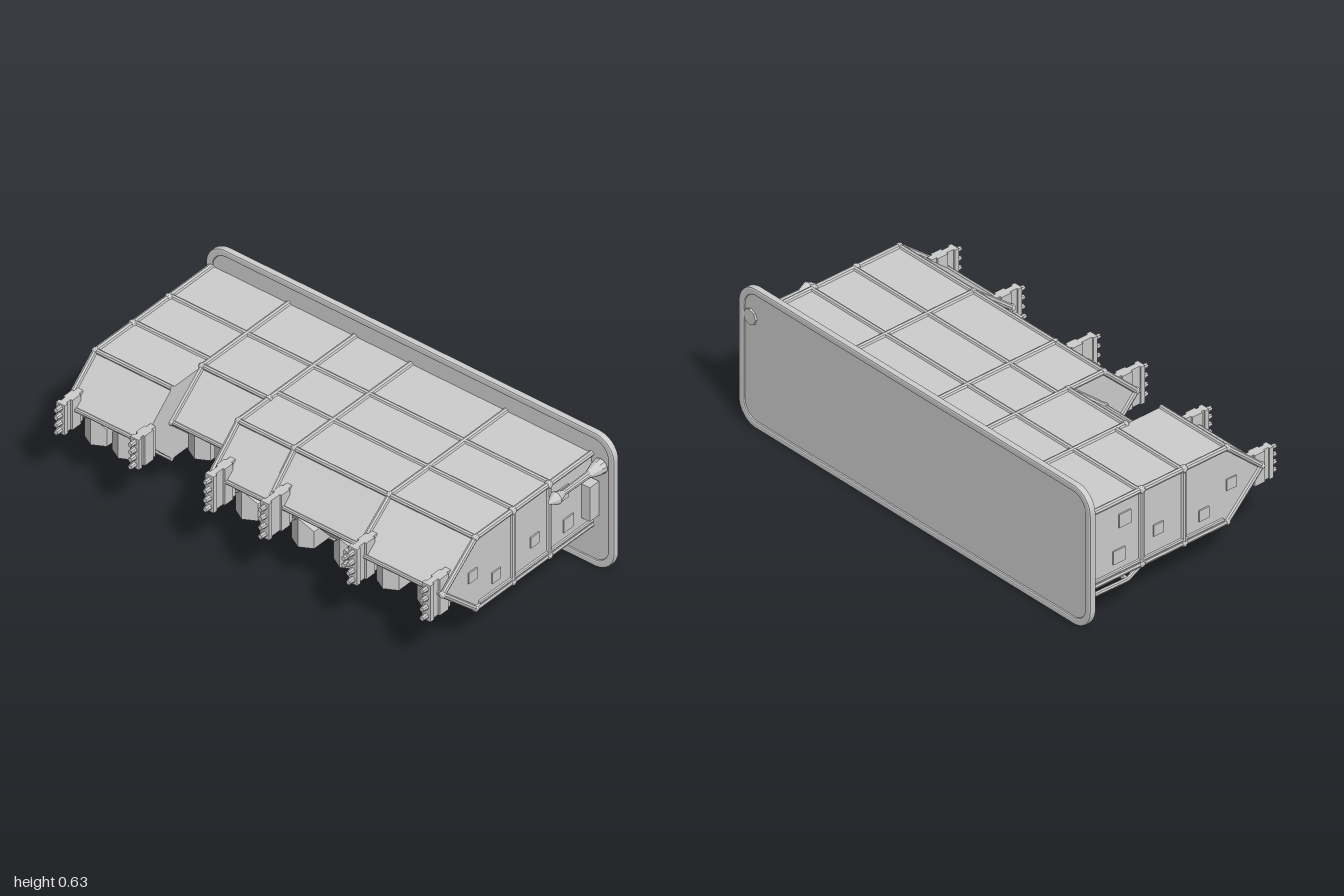
import * as THREE from 'three';

export function createModel() {
  const model = new THREE.Group();
  const mat = new THREE.MeshStandardMaterial({ color: 0xcccccc, flatShading: true });
  const V = (x, y, z) => new THREE.Vector3(x, y, z);

  function add(name, geo, x = 0, y = 0, z = 0, parent = model) {
    const m = new THREE.Mesh(geo, mat);
    m.name = name;
    m.position.set(x, y, z);
    parent.add(m);
    return m;
  }
  const box = (name, w, h, d, x, y, z, parent) =>
    add(name, new THREE.BoxGeometry(w, h, d), x, y, z, parent);

  // Round bar between two points
  function bar(name, a, b, r = 0.011, r2 = r) {
    const dir = b.clone().sub(a);
    const m = add(name, new THREE.CylinderGeometry(r2, r, dir.length(), 8));
    m.position.copy(a).lerp(b, 0.5);
    m.quaternion.setFromUnitVectors(V(0, 1, 0), dir.normalize());
    return m;
  }

  function roundedRect(w, h, r, Type = THREE.Shape) {
    const s = new Type(), x = w / 2, y = h / 2;
    s.moveTo(-x + r, -y);
    s.lineTo(x - r, -y); s.absarc(x - r, -y + r, r, -Math.PI / 2, 0);
    s.lineTo(x, y - r); s.absarc(x - r, y - r, r, 0, Math.PI / 2);
    s.lineTo(-x + r, y); s.absarc(-x + r, y - r, r, Math.PI / 2, Math.PI);
    s.lineTo(-x, -y + r); s.absarc(-x + r, -y + r, r, Math.PI, Math.PI * 1.5);
    return s;
  }

  // Back flange with a raised rim on both faces
  add('backPlate', new THREE.ExtrudeGeometry(roundedRect(1.97, 0.605, 0.09),
    { depth: 0.016, bevelEnabled: false, curveSegments: 6 }), 0, 0.315, -0.488);
  const rim = roundedRect(1.986, 0.616, 0.09);
  rim.holes.push(roundedRect(1.95, 0.58, 0.075, THREE.Path));
  add('plateRim', new THREE.ExtrudeGeometry(rim, {
    depth: 0.016, bevelThickness: 0.007, bevelSize: 0.007, bevelSegments: 2, curveSegments: 6,
  }), 0, 0.315, -0.488);

  // Bays: [left x, right x, shoulder z, nose z]
  const bays = [
    [-0.975, -0.6, 0.22, 0.395],
    [-0.6, -0.275, 0.04, 0.225],
    [-0.275, 0.0, 0.22, 0.385],
    [0.0, 0.465, 0.22, 0.375],
    [0.465, 0.885, 0.22, 0.415],
  ];
  const top = 0.522, bottom = 0.188, noseY = 0.365, backZ = -0.475;
  const section = (shoulder, nose) =>
    [[backZ, top], [shoulder, top], [nose, noseY], [shoulder, bottom], [backZ, bottom]];

  bays.forEach(([x0, x1, shoulder, nose], i) => {
    const s = new THREE.Shape(section(shoulder, nose).map(([z, y]) => new THREE.Vector2(-z, y)));
    const g = new THREE.ExtrudeGeometry(s, { depth: x1 - x0, bevelEnabled: false });
    g.rotateY(Math.PI / 2);
    add('bayShell', g, x0, 0, 0);
    // Edge bars along the shoulders, nose and cross seams
    bar('noseBar', V(x0, noseY, nose), V(x1, noseY, nose), 0.009);
    for (const y of [top, bottom]) {
      for (const z of [shoulder, -0.01, -0.225]) {
        if (i === 1 && z === -0.01) continue;
        bar('crossRib', V(x0, y, z), V(x1, y, z));
      }
    }
    // Bottom panels: beams and raised pads in each cell
    const w = x1 - x0;
    [[0.1, 0.12], [-0.12, 0.12], [-0.35, 0.13]].forEach(([z, d]) => {
      if (i === 1 && z > 0) return;
      for (const t of [0.28, 0.72]) {
        box('bottomPad', w * 0.25, 0.024, d * 0.6, x0 + w * t, bottom - 0.006, z);
      }
      box('bottomBeam', 0.014, 0.024, d + 0.06, x0 + w / 2, bottom - 0.004, z);
    });
  });

  // Profile frames on the dividers and the two end walls
  function frame(x, shoulder, nose) {
    const p = section(shoulder, nose).map(([z, y]) => V(x, y, z));
    for (let i = 0; i < 4; i++) bar('profileRib', p[i], p[i + 1], 0.012);
    for (const q of p.slice(1, 4)) add('ribJoint', new THREE.IcosahedronGeometry(0.015, 1), q.x, q.y, q.z);
  }
  bays.forEach(b => frame(b[0], b[2], b[3]));
  frame(-0.275, 0.04, 0.225);
  frame(-0.6, 0.04, 0.225);
  frame(0.885, 0.22, 0.415);
  for (const x of [-0.975, 0.885]) {
    for (const z of [0.0, -0.215]) {
      bar('sideRib', V(x, bottom - 0.01, z), V(x, top + 0.01, z), 0.012);
      for (const y of [bottom, top]) add('ribJoint', new THREE.IcosahedronGeometry(0.017, 1), x, y, z);
    }
    bar('lowerSideRail', V(x, 0.205, 0.2), V(x, 0.205, backZ), 0.009);
  }
  // Shallow square pads on the end walls
  for (const x of [-0.975, 0.885]) {
    [[0.24, 0.355, 0.05], [0.1, 0.275, 0.05], [-0.13, 0.31, 0.05], [-0.3, 0.43, 0.06], [-0.33, 0.275, 0.06]]
      .forEach(([z, y, s]) => box('sidePad', 0.012, s, s, x, y, z));
  }

  // Ridged blocks under the sloping front
  const ridge = new THREE.Shape([[-0.055, 0], [0.055, 0], [0.055, 0.08], [0, 0.135], [-0.055, 0.08]]
    .map(p => new THREE.Vector2(...p)));
  const blockGeo = new THREE.ExtrudeGeometry(ridge, { depth: 0.15, bevelEnabled: false });
  // Push the front face out along its centre line and cant the blocks to a wedge
  const flat = blockGeo.attributes.position;
  for (let i = 0; i < flat.count; i++) {
    if (flat.getZ(i) > 0.1 && Math.abs(flat.getX(i)) > 0.01) flat.setZ(i, 0.12);
  }
  // Ridge front in two facets
  const facets = new THREE.BufferGeometry();
  facets.setAttribute('position', new THREE.Float32BufferAttribute([
    -0.055, 0, 0.12, 0, 0, 0.15, 0, 0.135, 0.15, -0.055, 0, 0.12, 0, 0.135, 0.15, -0.055, 0.08, 0.12,
    0, 0, 0.15, 0.055, 0, 0.12, 0.055, 0.08, 0.12, 0, 0, 0.15, 0.055, 0.08, 0.12, 0, 0.135, 0.15,
    -0.055, 0, 0.12, 0.055, 0, 0.12, 0, 0, 0.15], 3));
  facets.computeVertexNormals();
  [[-0.88, 0], [-0.745, 0], [-0.52, -0.18], [-0.39, -0.18], [-0.14, 0], [0.135, 0], [0.34, 0], [0.55, 0], [0.75, 0]]
    .forEach(([x, dz]) => {
      const g = new THREE.Group();
      g.name = 'frontBlock';
      g.position.set(x, 0.205, 0.215 + dz);
      add('blockBody', blockGeo, 0, 0, 0, g);
      add('blockRidge', facets, 0, 0, 0, g);
      model.add(g);
    });

  // Front brackets with pins: [x, low y, high y, back z, front z, pin count]
  [[-0.95, 0.28, 0.42, 0.34, 0.46, 4], [-0.595, 0.28, 0.42, 0.34, 0.45, 4],
    [-0.22, 0.26, 0.43, 0.32, 0.46, 4], [0.05, 0.26, 0.43, 0.31, 0.46, 4],
    [0.425, 0.285, 0.35, 0.32, 0.42, 2], [0.49, 0.26, 0.43, 0.34, 0.47, 4],
    [0.85, 0.26, 0.43, 0.34, 0.47, 4]].forEach(([x, y0, y1, z0, z1, n]) => {
    const h = y1 - y0, y = (y0 + y1) / 2;
    box('bracketWeb', 0.026, h, z1 - z0, x, y, (z0 + z1) / 2);
    box('bracketFoot', 0.044, h, 0.05, x, y, z0 + 0.05);
    box('bracketHead', 0.042, h, 0.02, x, y, z1 - 0.01);
    for (let i = 0; i < n; i++) {
      const py = y0 + h * (i + 0.5) / n;
      bar('bracketPin', V(x, py, z1 - 0.005), V(x, py, z1 + 0.027), 0.013, 0.01);
    }
  });

  // Handle box and pointed rod beside the right-hand wall
  box('sideHandle', 0.05, 0.16, 0.055, 0.9, 0.33, -0.44);
  const rod = add('sideRod', new THREE.LatheGeometry([[0, -0.47], [0.034, -0.465], [0.03, -0.44], [0.015, -0.39],
    [0.012, -0.24], [0.028, -0.2], [0.022, -0.185], [0, -0.15]]
    .map(p => new THREE.Vector2(...p)), 10), 0.935, 0.49, 0);
  rod.rotation.x = Math.PI / 2;
  bar('rodCap', V(0.935, 0.49, -0.497), V(0.935, 0.49, -0.48), 0.035);

  // Hanging gear below the floor
  for (const [x0, x1] of [[-0.97, -0.61], [0.45, 0.62]]) {
    bar('lowerRail', V(x0, 0.142, -0.28), V(x1, 0.142, -0.28), 0.011);
    for (const x of [x0, x1]) {
      bar('lowerStrut', V(x, 0.142, -0.28), V(x, 0.145, -0.475), 0.01);
      bar('railHanger', V(x, 0.142, -0.28), V(x, 0.185, -0.2), 0.01);
    }
  }
  box('hangingBox', 0.18, 0.05, 0.08, -0.49, 0.162, -0.19);
  const tray = box('hangingTray', 0.24, 0.02, 0.13, -0.135, 0.15, -0.25);
  tray.rotation.x = -0.45;
  for (const x of [-0.25, -0.02]) bar('trayStrut', V(x, 0.14, -0.29), V(x, 0.14, -0.475), 0.01);

  return model;
}
